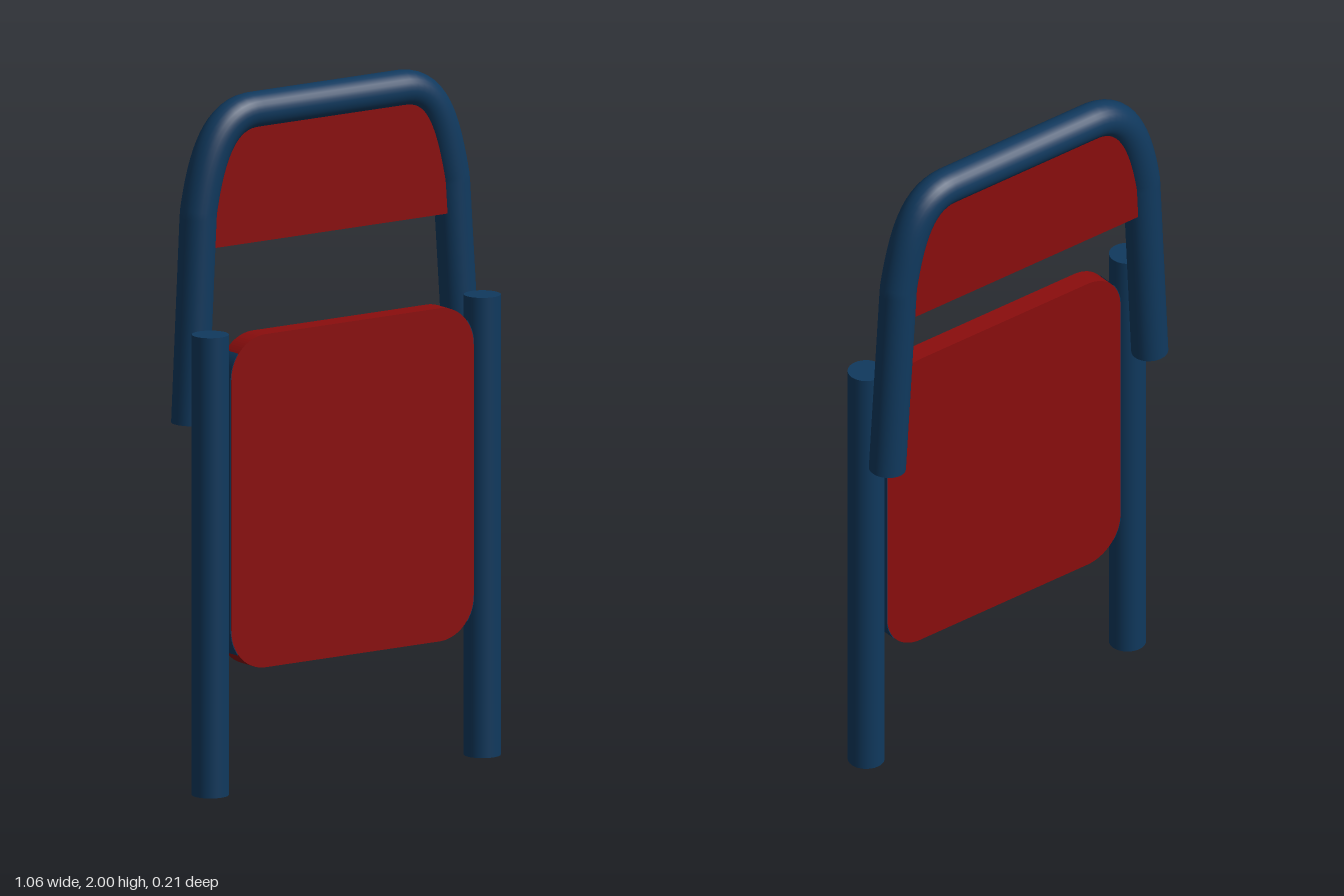
import * as THREE from 'three';

const blue = new THREE.MeshStandardMaterial({ color: 0x10395e });
const red = new THREE.MeshStandardMaterial({ color: 0x8a0d0d });
const R = 0.053; // tube radius

export function createModel() {
  const group = new THREE.Group();
  const add = (name, geometry, material, x = 0, y = 0, z = 0) => {
    const mesh = new THREE.Mesh(geometry, material);
    mesh.name = name;
    mesh.position.set(x, y, z);
    group.add(mesh);
    return mesh;
  };

  // Straight front legs
  add('leftLeg', new THREE.CylinderGeometry(R, R, 1.34, 32), blue, 0.469, 0.67, R);
  add('rightLeg', new THREE.CylinderGeometry(R, R, 1.34, 32), blue, -0.48, 0.67, R);

  // Bent back hoop: slanted sides, rounded shoulders, flat top
  const v = (x, y) => new THREE.Vector3(x, y, -R);
  const path = new THREE.CurvePath();
  path.add(new THREE.LineCurve3(v(-0.477, 1.063), v(-0.447, 1.67)));
  path.add(new THREE.CubicBezierCurve3(v(-0.447, 1.67), v(-0.42, 1.83), v(-0.375, 1.947), v(-0.26, 1.947)));
  path.add(new THREE.LineCurve3(v(-0.26, 1.947), v(0.255, 1.947)));
  path.add(new THREE.CubicBezierCurve3(v(0.255, 1.947), v(0.37, 1.947), v(0.405, 1.83), v(0.436, 1.67)));
  path.add(new THREE.LineCurve3(v(0.436, 1.67), v(0.476, 1.063)));
  add('backHoop', new THREE.TubeGeometry(path, 120, R, 28), blue);

  // Flat caps on the hoop's two ends
  for (const [t, sign, name] of [[0, -1, 'rightHoopCap'], [1, 1, 'leftHoopCap']]) {
    const p = path.getPointAt(t);
    const cap = add(name, new THREE.CircleGeometry(R, 28), blue, p.x, p.y, p.z);
    const normal = path.getTangentAt(t).multiplyScalar(sign);
    cap.quaternion.setFromUnitVectors(new THREE.Vector3(0, 0, 1), normal);
  }

  // Backrest panel, its edges buried in the hoop
  const back = new THREE.Shape();
  back.moveTo(-0.442, 1.57);
  back.lineTo(0.43, 1.57);
  back.lineTo(0.43, 1.67);
  back.bezierCurveTo(0.405, 1.83, 0.37, 1.947, 0.255, 1.947);
  back.lineTo(-0.26, 1.947);
  back.bezierCurveTo(-0.375, 1.947, -0.42, 1.83, -0.442, 1.67);
  back.closePath();
  add('backrest', new THREE.ExtrudeGeometry(back, { depth: 0.064, bevelEnabled: false, curveSegments: 16 }), red, 0, 0, -0.085);

  // Seat panel with rounded corners
  const w = 0.423, h = 0.485, r = 0.12;
  const seat = new THREE.Shape();
  seat.absarc(w - r, h - r, r, 0, Math.PI / 2);
  seat.absarc(r - w, h - r, r, Math.PI / 2, Math.PI);
  seat.absarc(r - w, r - h, r, Math.PI, Math.PI * 1.5);
  seat.absarc(w - r, r - h, r, Math.PI * 1.5, Math.PI * 2);
  seat.closePath();
  add('seat', new THREE.ExtrudeGeometry(seat, { depth: 0.063, bevelEnabled: false, curveSegments: 12 }), red, -0.005, 0.84, 0.02);

  // Blue bands along the seat's two side edges
  const a = 0.66, rb = r + 0.002;
  const band = new THREE.Shape();
  band.absarc(w - r, r - h, rb, -a, 0);
  band.absarc(w - r, h - r, rb, 0, a);
  band.closePath();
  for (const [name, angle] of [['leftSeatEdge', 0], ['rightSeatEdge', Math.PI]]) {
    const geometry = new THREE.ExtrudeGeometry(band, { depth: 0.062, bevelEnabled: false, curveSegments: 8 });
    geometry.rotateZ(angle);
    add(name, geometry, blue, -0.005, 0.84, 0.0205);
  }

  return group;
}
